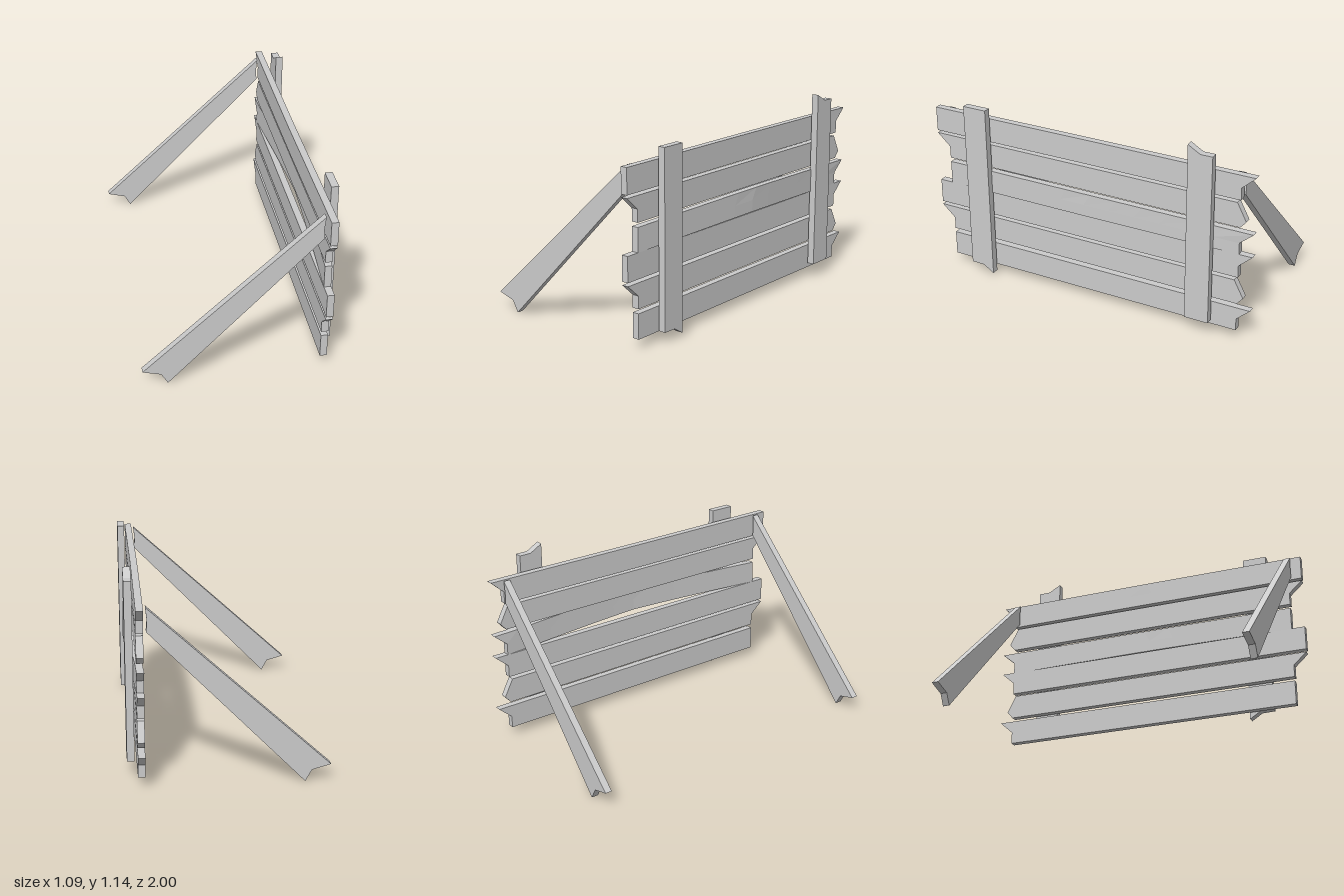
import * as THREE from 'three';

const material = new THREE.MeshStandardMaterial({ color: 0xcccccc, flatShading: true });

// Sawn plank ends: z at bottom, middle and top, and height fraction of the middle point
const LONG = { z: [1, 1, 1], f: 0.5 };
const SHORT = { z: [0.92, 0.92, 0.92], f: 0.5 };
const SLANT = { z: [0.92, 0.92, 1], f: 0.5 };
const POINT = { z: [0.92, 0.955, 0.9], f: 0.28 };

const LENGTHWISE = 12;

// Horizontal board whose ends follow a broken profile, optionally bowed at its middle
function plank(name, bottom, top, front, back, bowX = 0, bowY = 0) {
  const geo = new THREE.BoxGeometry(0.04, 2, 2, 1, 2, LENGTHWISE);
  const p = geo.attributes.position;
  for (let i = 0; i < p.count; i++) {
    const row = Math.round(p.getY(i)) + 1;
    const t = (p.getZ(i) + 1) / 2;
    const z = THREE.MathUtils.lerp(-back.z[row], front.z[row], t);
    const f = [0, THREE.MathUtils.lerp(back.f, front.f, t), 1][row];
    const d = Math.min(1, Math.abs(z) / 0.92);
    const bow = 1 - Math.pow(d, 1.2);
    p.setXYZ(i, 0.47 + p.getX(i) + bowX * bow, bottom + (top - bottom) * f + bowY * bow, z);
  }
  const flat = geo.toNonIndexed();
  flat.computeVertexNormals();
  const mesh = new THREE.Mesh(flat, material);
  mesh.name = name;
  return mesh;
}

// Flat board cut from an outline
function board(name, points, depth) {
  const shape = new THREE.Shape(points.map(([x, y]) => new THREE.Vector2(x, y)));
  const geo = new THREE.ExtrudeGeometry(shape, { depth, bevelEnabled: false });
  const mesh = new THREE.Mesh(geo, material);
  mesh.name = name;
  return mesh;
}

export function createModel() {
  const group = new THREE.Group();
  group.name = 'plankBarrier';

  // Six planks from top to bottom; the third is warped outward
  group.add(
    plank('plank1', 0.858, 1.003, LONG, SLANT, -0.004),
    plank('plank2', 0.697, 0.842, SLANT, POINT),
    plank('warpedPlank', 0.535, 0.672, SHORT, SLANT, 0.048, 0.027),
    plank('plank4', 0.392, 0.536, LONG, SLANT),
    plank('plank5', 0.228, 0.373, SLANT, POINT),
    plank('plank6', 0.058, 0.202, SHORT, SLANT),
  );

  // Upright posts, outlines given as [-z, y]
  const posts = [
    board('frontPost', [[-0.77, 0.065], [-0.69, 0.063], [-0.625, 0.022], [-0.625, 1.073], [-0.77, 1.073]], 0.042),
    board('backPost', [[0.632, 0.09], [0.775, 0.09], [0.775, 1.098], [0.705, 1.098], [0.632, 1.14]], 0.042),
  ];
  for (const post of posts) {
    post.rotation.y = Math.PI / 2;
    post.position.x = 0.502;
    group.add(post);
  }

  // Slanted props leaning on the board
  const propOutline = [[0.438, 1], [-0.547, 0.096], [-0.444, 0.067], [-0.408, 0.002], [0.435, 0.868], [0.43, 0.925]];
  for (const [name, z] of [['frontProp', 0.9], ['backProp', -0.923]]) {
    const prop = board(name, propOutline, 0.04);
    prop.position.z = z;
    group.add(prop);
  }
  return group;
}
